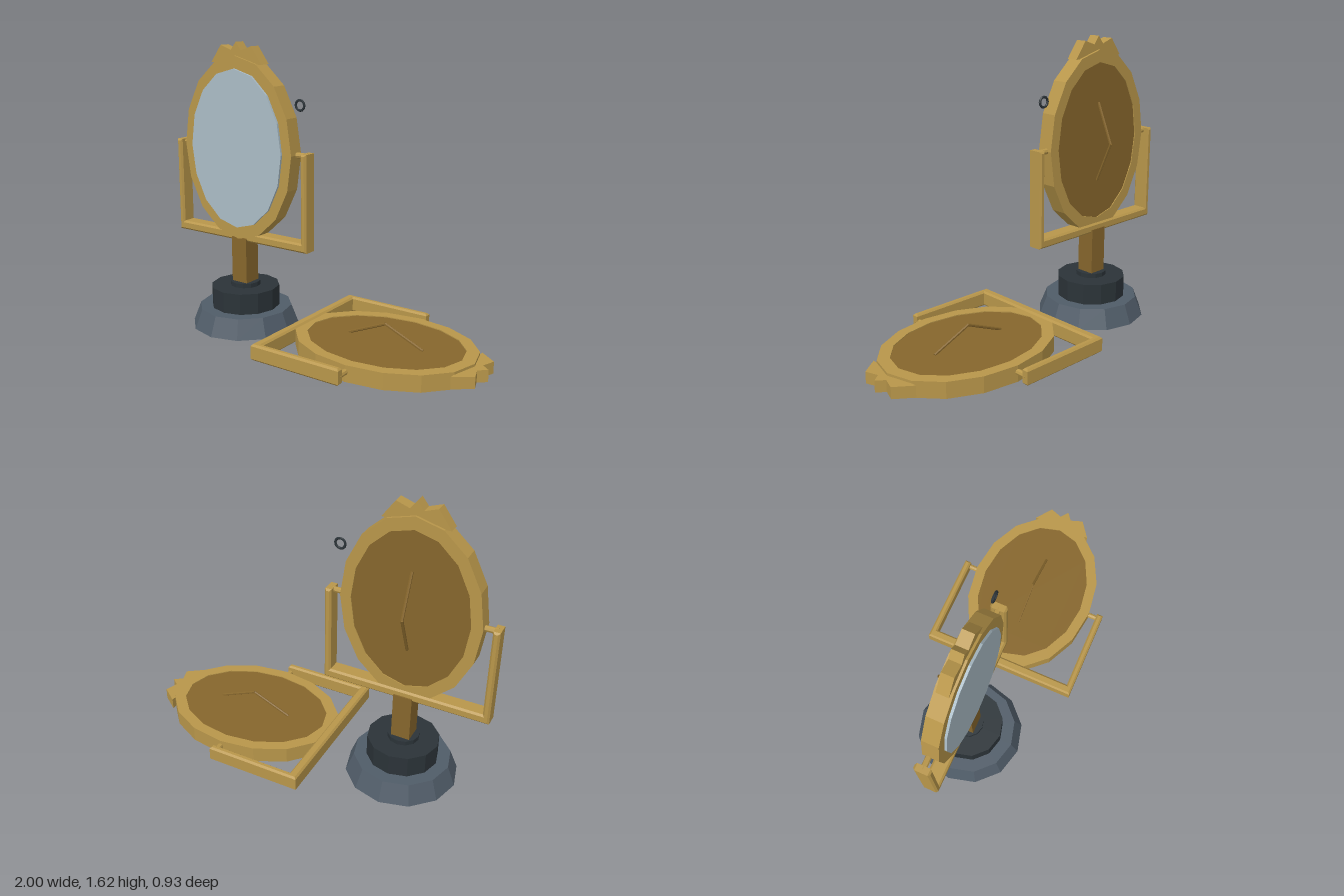
import * as THREE from 'three';

const mat = (name, color) => {
  const m = new THREE.MeshStandardMaterial({ color });
  m.name = name;
  return m;
};

// Faceted normals for low-poly parts
function flat(geo) {
  const g = geo.index ? geo.toNonIndexed() : geo;
  g.computeVertexNormals();
  return g;
}

function add(parent, name, geo, material, x = 0, y = 0, z = 0) {
  const mesh = new THREE.Mesh(flat(geo), material);
  mesh.name = name;
  mesh.position.set(x, y, z);
  parent.add(mesh);
  return mesh;
}

// 16-sided oval outline
function oval(rx, ry) {
  return Array.from({ length: 16 }, (_, i) => {
    const a = (i / 16) * Math.PI * 2;
    return new THREE.Vector2(rx * Math.cos(a), ry * Math.sin(a));
  });
}

// Extrude a shape between two depths
function slab(shape, z0, z1) {
  const g = new THREE.ExtrudeGeometry(shape, { depth: z1 - z0, bevelEnabled: false });
  return g.translate(0, 0, z0);
}

const outline = pts => new THREE.Shape(pts.map(([x, y]) => new THREE.Vector2(x, y)));

// Thin round rod between two points
function rod(a, b, r) {
  const d = b.clone().sub(a);
  const g = new THREE.CylinderGeometry(r, r, d.length(), 6);
  g.applyQuaternion(new THREE.Quaternion().setFromUnitVectors(new THREE.Vector3(0, 1, 0), d.normalize()));
  const c = a.clone().add(b).multiplyScalar(0.5);
  return g.translate(c.x, c.y, c.z);
}

// Oval mirror with crest, bent back strut, pivots and U-shaped yoke, centred on its pivot axis
function createMirror(name, m) {
  const mirror = new THREE.Group();
  mirror.name = name;

  const ring = new THREE.Shape(oval(0.38, 0.516));
  ring.holes.push(new THREE.Path(oval(0.32, 0.447)));
  add(mirror, 'mirrorFrame', slab(ring, -0.035, 0.055), m.gold);
  add(mirror, 'mirrorGlass', slab(new THREE.Shape(oval(0.32, 0.447)), 0.0, 0.068), m.glass);
  add(mirror, 'backPanel', slab(new THREE.Shape(oval(0.32, 0.447)), -0.03, 0), m.brown);

  // Crown-like crest
  const crest = outline([
    [-0.177, 0.474], [0.177, 0.474], [0.107, 0.57], [0.035, 0.545],
    [0, 0.59], [-0.035, 0.545], [-0.107, 0.57],
  ]);
  add(mirror, 'crest', slab(crest, -0.021, 0.043), m.gold);

  // Bent strut on the back
  const knee = new THREE.Vector3(0, 0, -0.126);
  for (const s of [-1, 1]) {
    add(mirror, 'backStrut', rod(new THREE.Vector3(0, s * 0.225, -0.03), knee, 0.008), m.brown);
  }

  // Yoke with chamfered edges
  const b = 0.01;
  const xo = 0.465 - b, xi = 0.428 + b, top = 0.015 - b, yi = -0.478 - b, yo = -0.53 + b;
  const yoke = outline([
    [-xo, yo], [xo, yo], [xo, top], [xi, top], [xi, yi], [-xi, yi], [-xi, top], [-xo, top],
  ]);
  const yokeGeo = new THREE.ExtrudeGeometry(yoke, {
    depth: 0.09 - 2 * b, bevelSize: b, bevelThickness: b, bevelSegments: 1,
  }).translate(0, 0, -0.045 + b);
  add(mirror, 'yoke', yokeGeo, m.gold);

  // Pivot pins between yoke and frame
  for (const s of [-1, 1]) {
    const pin = new THREE.CylinderGeometry(0.016, 0.016, 0.09, 8).rotateZ(Math.PI / 2);
    add(mirror, 'pivotPin', pin, m.gold, s * 0.4, 0, 0);
  }
  return mirror;
}

export function createModel() {
  const m = {
    gold: mat('gold', 0xb8964a),
    brown: mat('dark bronze', 0x86662c),
    glass: mat('mirror glass', 0xaabcc6),
    slate: mat('slate', 0x505c68),
    dark: mat('dark iron', 0x2b3338),
  };
  const model = new THREE.Group();
  model.name = 'tableMirrors';
  const cx = -0.535;

  // Stand: stepped round base and square post
  const stand = new THREE.Group();
  stand.name = 'stand';
  stand.position.x = cx;
  model.add(stand);
  add(stand, 'baseFoot', new THREE.CylinderGeometry(0.267, 0.31, 0.11, 12), m.slate, 0, 0.055);
  add(stand, 'baseDrum', new THREE.CylinderGeometry(0.197, 0.197, 0.12, 12), m.dark, 0, 0.17);
  add(stand, 'baseCollar', new THREE.CylinderGeometry(0.087, 0.087, 0.025, 12), m.dark, 0, 0.2425);
  add(stand, 'post', new THREE.BoxGeometry(0.105, 0.265, 0.105), m.brown, 0, 0.3875);

  // Upright mirror on the stand
  const upright = createMirror('uprightMirror', m);
  upright.position.set(cx, 1.03, 0);
  model.add(upright);

  // Second mirror lying face down, crest towards +x
  const lying = createMirror('lyingMirror', m);
  lying.quaternion.setFromRotationMatrix(new THREE.Matrix4().makeBasis(
    new THREE.Vector3(0, 0, -1), new THREE.Vector3(1, 0, 0), new THREE.Vector3(0, -1, 0)));
  lying.position.set(0.41, 0.068, 0);
  model.add(lying);

  // Small loose ring
  add(model, 'smallRing', new THREE.TorusGeometry(0.028, 0.007, 6, 12), m.dark, -0.135, 1.3, 0);

  return model;
}
